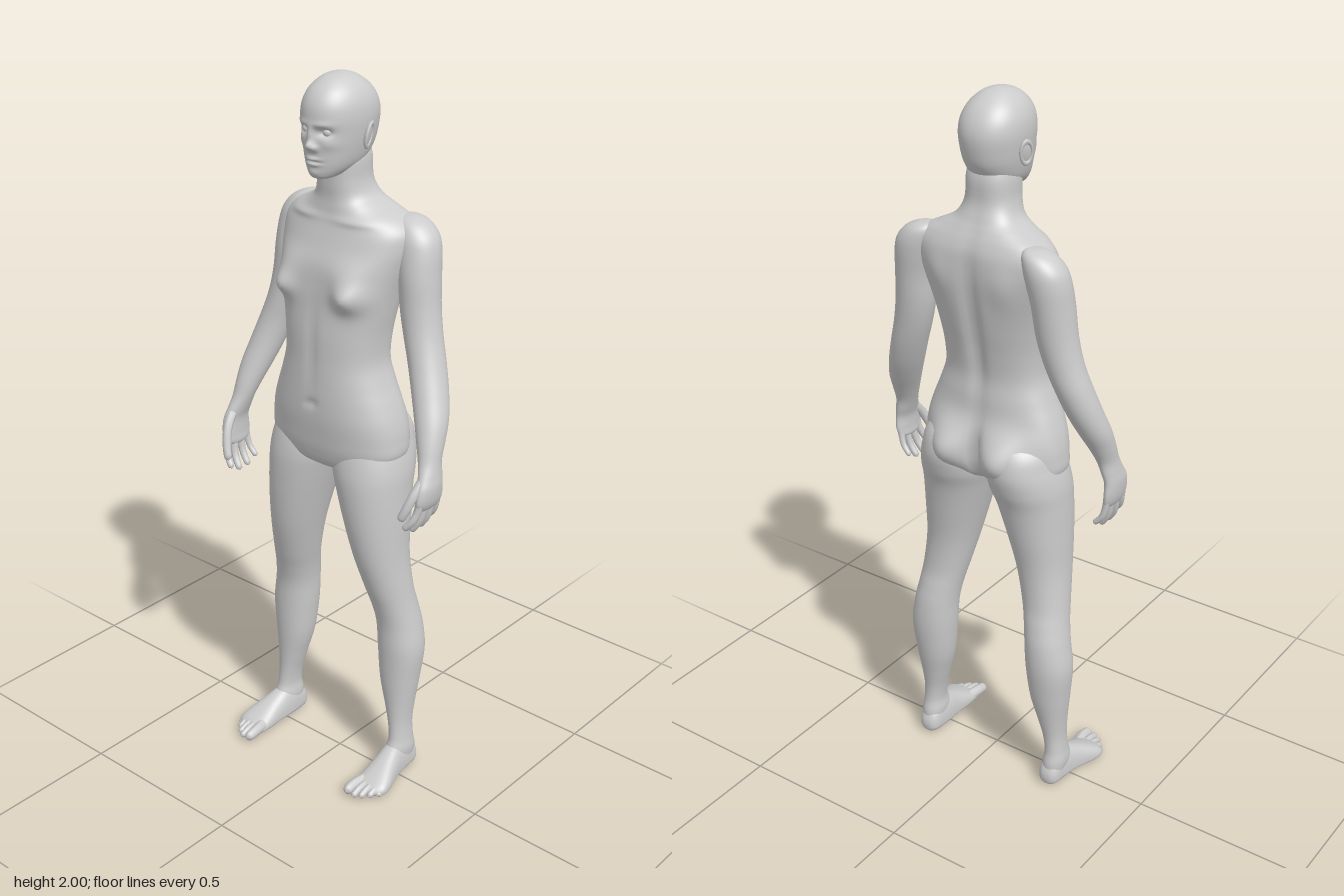
import * as THREE from 'three';

const skin = new THREE.MeshStandardMaterial({ color: 0xcccccc, side: THREE.DoubleSide });

function addMesh(parent, name, geo) {
  const mesh = new THREE.Mesh(geo, skin);
  mesh.name = name;
  parent.add(mesh);
  return mesh;
}

// Catmull-Rom blend of one number
function spline(a, b, c, d, t) {
  return b + 0.5 * t * (c - a + t * (2 * a - 5 * b + 4 * c - d + t * (3 * (b - c) + d - a)));
}

// Closed skin over horizontal sections, listed upwards: [y, centreX, halfWidth, frontZ, widestZ, backZ]
function loft(rows, { s = 1, e = 2, steps = 6, sides = 48 } = {}) {
  const pos = [], index = [], last = rows.length - 1, count = last * steps;
  const power = v => Math.sign(v) * Math.abs(v) ** (2 / e);
  for (let i = 0; i <= count; i++) {
    const k = Math.min(Math.floor(i / steps), last - 1), t = i / steps - k;
    const row = j => rows[Math.max(0, Math.min(last, j))];
    const [y, c, w, f, m, b] = rows[0].map((_, q) =>
      spline(row(k - 1)[q], row(k)[q], row(k + 1)[q], row(k + 2)[q], t));
    for (let j = 0; j < sides; j++) {
      const a = j / sides * Math.PI * 2, sn = power(Math.sin(a));
      pos.push(s * c + Math.max(w, 0) * power(Math.cos(a)), y,
        m + Math.max(sn > 0 ? f - m : m - b, 0) * sn);
      if (i < count) {
        const p = i * sides + j, q = i * sides + (j + 1) % sides;
        index.push(p, p + sides, q, q, p + sides, q + sides);
      }
    }
  }
  const geo = new THREE.BufferGeometry();
  geo.setAttribute('position', new THREE.Float32BufferAttribute(pos, 3));
  geo.setIndex(index);
  geo.computeVertexNormals();
  return geo;
}

// Move every vertex by a rule
function warp(geo, rule) {
  const p = geo.attributes.position, v = new THREE.Vector3();
  for (let i = 0; i < p.count; i++) {
    rule(v.fromBufferAttribute(p, i), i);
    p.setXYZ(i, v.x, v.y, v.z);
  }
  geo.computeVertexNormals();
  return geo;
}

// Soft mirrored swellings and dents: [x, y, depth, sizeX, sizeY], dir 1 = front, -1 = back
function sculpt(geo, dir, bumps) {
  return warp(geo, v => {
    const side = THREE.MathUtils.clamp((v.z + 0.03) * dir / 0.04, 0, 1);
    let push = 0;
    for (const [x, y, depth, sx, sy] of bumps)
      push += depth * Math.exp(-(((Math.abs(v.x) - x) / sx) ** 2) - ((v.y - y) / sy) ** 2);
    v.z += dir * side * push;
  });
}

// Finger or toe: a curved tube that tapers to a round tip
function digit(points, r) {
  const curve = new THREE.CatmullRomCurve3(points.map(p => new THREE.Vector3(...p)));
  const n = 20, sides = 12, tip = r / curve.getLength();
  return warp(new THREE.TubeGeometry(curve, n, r, sides), (v, i) => {
    const u = Math.floor(i / (sides + 1)) / n, centre = curve.getPointAt(u);
    const k = Math.max(0, (u - 1 + tip) / tip);
    v.sub(centre).multiplyScalar((1.08 - 0.22 * u) * Math.sqrt(Math.max(0, 1 - k * k))).add(centre);
  });
}

function makeTorso() {
  const geo = loft([
    [0.925, 0, 0, -0.02, -0.02, -0.02], [0.937, 0, 0.06, 0.035, -0.02, -0.06],
    [0.96, 0, 0.16, 0.072, -0.02, -0.1], [1.0, 0, 0.208, 0.086, -0.025, -0.12],
    [1.05, 0, 0.211, 0.093, -0.03, -0.125], [1.1, 0, 0.203, 0.098, -0.03, -0.125],
    [1.15, 0, 0.187, 0.099, -0.03, -0.118], [1.2, 0, 0.167, 0.098, -0.025, -0.116],
    [1.26, 0, 0.149, 0.096, -0.02, -0.112], [1.33, 0, 0.151, 0.094, -0.02, -0.122],
    [1.4, 0, 0.162, 0.088, -0.025, -0.137], [1.46, 0, 0.173, 0.083, -0.04, -0.148],
    [1.52, 0, 0.188, 0.075, -0.06, -0.155], [1.57, 0, 0.2, 0.057, -0.08, -0.157],
    [1.61, 0, 0.198, 0.043, -0.09, -0.155], [1.64, 0, 0.17, 0.034, -0.092, -0.146],
    [1.665, 0, 0.12, 0.03, -0.085, -0.134], [1.69, 0, 0.083, 0.028, -0.065, -0.122],
    [1.73, 0, 0.067, 0.03, -0.045, -0.109], [1.79, 0, 0.064, 0.03, -0.04, -0.107],
    [1.84, 0, 0.05, 0.02, -0.04, -0.09],
  ], { e: 2.4, sides: 96 });
  // breasts, navel, belly centre line, collarbones
  sculpt(geo, 1, [[0.112, 1.45, 0.036, 0.042, 0.036], [0.1, 1.5, 0.012, 0.05, 0.04],
    [0, 1.14, -0.008, 0.012, 0.012], [0, 1.3, -0.005, 0.015, 0.12], [0.09, 1.635, 0.006, 0.06, 0.01]]);
  // buttocks, spine groove, shoulder blades
  return sculpt(geo, -1, [[0.085, 1.04, 0.056, 0.068, 0.07], [0, 1.03, -0.025, 0.018, 0.07],
    [0, 1.4, -0.016, 0.022, 0.2], [0.1, 1.54, 0.009, 0.045, 0.06]]);
}

function makeHead(parent) {
  const geo = loft([
    [1.742, 0, 0, 0.05, 0.05, 0.05], [1.748, 0, 0.028, 0.074, 0.035, 0.0],
    [1.762, 0, 0.047, 0.081, 0.015, -0.04], [1.785, 0, 0.064, 0.085, -0.01, -0.088],
    [1.82, 0, 0.075, 0.087, -0.02, -0.117], [1.86, 0, 0.082, 0.09, -0.025, -0.129],
    [1.9, 0, 0.085, 0.093, -0.03, -0.132], [1.935, 0, 0.08, 0.087, -0.03, -0.122],
    [1.965, 0, 0.065, 0.068, -0.026, -0.1], [1.988, 0, 0.041, 0.036, -0.022, -0.068],
    [1.997, 0, 0.02, 0.006, -0.02, -0.042], [2.0, 0, 0, -0.02, -0.02, -0.02],
  ], { e: 2.15, steps: 10, sides: 120 });
  // nose, nostrils, eye sockets, brows, lips, mouth line, chin, cheekbones
  sculpt(geo, 1, [[0, 1.86, 0.01, 0.009, 0.022], [0, 1.834, 0.017, 0.011, 0.012],
    [0.013, 1.828, 0.008, 0.008, 0.008], [0.033, 1.868, -0.014, 0.018, 0.011],
    [0.03, 1.887, 0.004, 0.025, 0.008], [0, 1.799, 0.007, 0.02, 0.005],
    [0, 1.786, 0.006, 0.018, 0.005], [0, 1.792, -0.006, 0.022, 0.003],
    [0, 1.762, 0.004, 0.02, 0.01], [0.048, 1.838, 0.004, 0.018, 0.014]]);
  addMesh(parent, 'head', geo);
  for (const s of [1, -1]) {
    const eye = addMesh(parent, 'eye', new THREE.SphereGeometry(0.013, 24, 16));
    eye.position.set(s * 0.033, 1.868, 0.064);
    const ear = new THREE.Group();
    ear.name = 'ear';
    ear.position.set(s * 0.085, 1.853, -0.027);
    ear.rotation.set(-0.2, s * 0.35, -s * 0.1);
    addMesh(ear, 'earLobe', new THREE.SphereGeometry(1, 20, 16)).scale.set(0.007, 0.032, 0.017);
    const rim = addMesh(ear, 'earRim', new THREE.TorusGeometry(0.017, 0.004, 10, 28));
    rim.rotation.y = Math.PI / 2;
    rim.scale.y = 1.75;
    rim.position.x = s * 0.004;
    parent.add(ear);
  }
}

// Arm, hand and fingers; "swing" draws the forearm inwards and forwards
function makeArm(parent, s, swing) {
  const arm = new THREE.Group();
  arm.name = s > 0 ? 'leftArm' : 'rightArm';
  const pose = geo => warp(geo, v => {
    const k = THREE.MathUtils.smoothstep(1.3 - v.y, 0, 0.3) * swing;
    v.x -= s * k;
    v.z += k * 0.4;
    v.y -= THREE.MathUtils.smoothstep(1.0 - v.y, 0, 0.1) * swing * 0.6;
  });
  addMesh(arm, 'armAndPalm', pose(loft([
    [0.922, 0.349, 0, 0.04, 0.04, 0.04], [0.932, 0.351, 0.013, 0.078, 0.04, 0.0],
    [0.955, 0.356, 0.018, 0.09, 0.04, -0.01], [0.99, 0.357, 0.021, 0.084, 0.038, -0.008],
    [1.02, 0.35, 0.024, 0.07, 0.03, -0.012], [1.055, 0.34, 0.028, 0.054, 0.02, -0.018],
    [1.1, 0.328, 0.036, 0.042, 0.002, -0.04], [1.15, 0.312, 0.044, 0.027, -0.02, -0.067],
    [1.21, 0.288, 0.048, 0.008, -0.043, -0.093], [1.28, 0.261, 0.05, -0.01, -0.062, -0.113],
    [1.35, 0.237, 0.052, -0.021, -0.074, -0.125], [1.42, 0.221, 0.054, -0.026, -0.08, -0.135],
    [1.5, 0.212, 0.055, -0.028, -0.086, -0.145], [1.56, 0.203, 0.058, -0.035, -0.094, -0.153],
    [1.6, 0.193, 0.056, -0.043, -0.1, -0.154], [1.63, 0.178, 0.044, -0.058, -0.102, -0.146],
    [1.645, 0.165, 0.024, -0.08, -0.104, -0.128], [1.648, 0.16, 0, -0.104, -0.104, -0.104],
  ], { s })));
  // base z, tip z, tip height, thickness
  [[0.08, 0.098, 0.875, 0.0105], [0.054, 0.066, 0.858, 0.011],
    [0.027, 0.031, 0.86, 0.0105], [0.002, -0.002, 0.877, 0.009]].forEach(([z0, z1, y, r]) =>
    addMesh(arm, 'finger', pose(digit([[s * 0.356, 0.965, z0 * 0.95], [s * 0.351, 0.93, z0],
      [s * 0.342, (y + 0.93) / 2, (z0 + z1) / 2], [s * 0.319, y, z1]], r))));
  addMesh(arm, 'thumb', pose(digit([[s * 0.35, 1.015, 0.055], [s * 0.342, 0.975, 0.087],
    [s * 0.332, 0.94, 0.103], [s * 0.318, 0.905, 0.112]], 0.013)));
  parent.add(arm);
}

function makeLeg(parent, s) {
  const leg = new THREE.Group();
  leg.name = s > 0 ? 'leftLeg' : 'rightLeg';
  addMesh(leg, 'leg', loft([
    [0.02, 0.216, 0.026, -0.005, -0.045, -0.085], [0.07, 0.217, 0.033, 0.015, -0.042, -0.086],
    [0.11, 0.217, 0.029, 0.004, -0.042, -0.079], [0.16, 0.212, 0.031, 0.0, -0.042, -0.08],
    [0.22, 0.206, 0.041, 0.001, -0.045, -0.091], [0.3, 0.2, 0.056, 0.005, -0.05, -0.108],
    [0.4, 0.199, 0.066, 0.008, -0.055, -0.121], [0.48, 0.191, 0.063, 0.01, -0.054, -0.12],
    [0.54, 0.181, 0.062, 0.022, -0.045, -0.11], [0.6, 0.17, 0.065, 0.04, -0.034, -0.099],
    [0.7, 0.153, 0.073, 0.066, -0.02, -0.099], [0.8, 0.138, 0.086, 0.081, -0.018, -0.114],
    [0.9, 0.122, 0.1, 0.087, -0.02, -0.133], [0.96, 0.112, 0.107, 0.084, -0.025, -0.154],
    [1.02, 0.106, 0.1, 0.07, -0.03, -0.164], [1.08, 0.102, 0.08, 0.045, -0.035, -0.145],
    [1.13, 0.1, 0, -0.04, -0.04, -0.08],
  ], { s, e: 2.1 }));
  // foot sections run from heel to toes, then turn so the heel points back
  addMesh(leg, 'foot', loft([
    [-0.094, 0.215, 0, -0.03, -0.03, -0.03], [-0.09, 0.215, 0.018, -0.01, -0.028, -0.05],
    [-0.075, 0.215, 0.03, -0.002, -0.026, -0.075], [-0.04, 0.215, 0.034, 0, -0.025, -0.095],
    [0, 0.217, 0.037, -0.002, -0.022, -0.094], [0.04, 0.223, 0.042, -0.003, -0.02, -0.077],
    [0.08, 0.229, 0.049, 0, -0.018, -0.057], [0.11, 0.231, 0.05, 0, -0.016, -0.041],
    [0.13, 0.225, 0.041, -0.002, -0.015, -0.029], [0.14, 0.22, 0.025, -0.008, -0.014, -0.02],
    [0.143, 0.218, 0, -0.014, -0.014, -0.014],
  ], { s, e: 2.3 }).rotateX(Math.PI / 2));
  // x, tip z, thickness
  [[0.194, 0.18, 0.0165], [0.218, 0.178, 0.011], [0.236, 0.167, 0.0105],
    [0.253, 0.15, 0.0105], [0.268, 0.13, 0.01]].forEach(([x, z, r]) =>
    addMesh(leg, 'toe', digit([[s * (x * 0.8 + 0.045), 0.022, z - 0.075],
      [s * x, 0.022, z - 0.035], [s * x, r * 0.95, z]], r)));
  parent.add(leg);
}

export function createModel() {
  const model = new THREE.Group();
  model.name = 'humanFigure';
  const body = new THREE.Group();
  body.name = 'body';
  body.position.x = -0.018;
  addMesh(body, 'torsoAndNeck', makeTorso());
  makeHead(body);
  makeArm(body, 1, 0);
  makeArm(body, -1, 0.03);
  makeLeg(body, 1);
  makeLeg(body, -1);
  model.add(body);
  return model;
}
